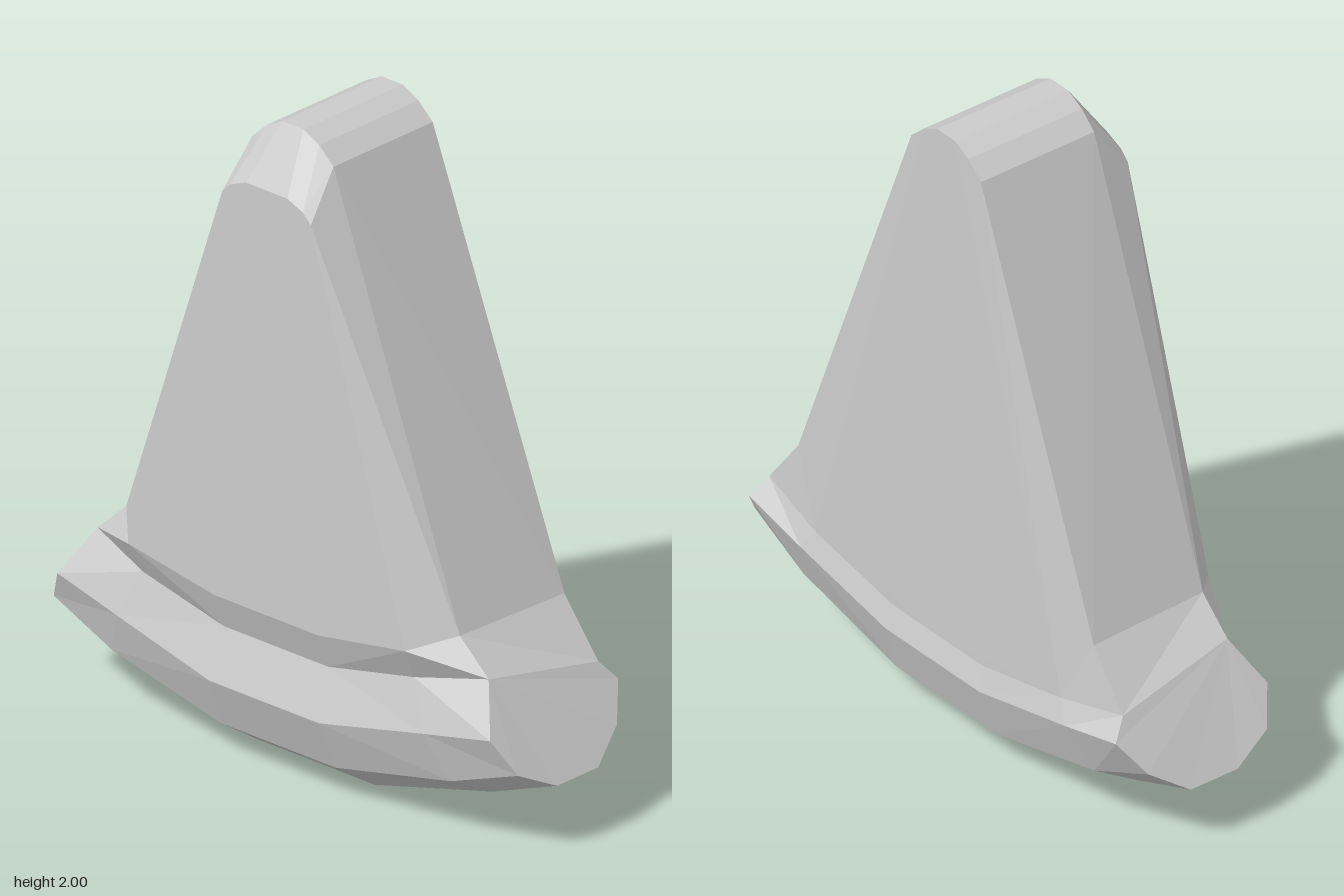
import * as THREE from 'three';

// Collects triangles for the +x half and mirrors each one across x = 0
function mirroredBuilder() {
  const out = [];
  const tri = (a, b, c) => {
    const area = new THREE.Triangle(...[a, b, c].map(p => new THREE.Vector3(...p))).getArea();
    if (area < 1e-6) return;
    out.push(...a, ...b, ...c);
    for (const [x, y, z] of [a, c, b]) out.push(-x, y, z);
  };
  return {
    // Skin between two matching loops, over the first n segments
    strip(a, b, n = a.length - 1) {
      for (let i = 0; i < n; i++) {
        tri(a[i], a[i + 1], b[i + 1]);
        tri(a[i], b[i + 1], b[i]);
      }
    },
    // Flat fill of a loop, fanned from one of its corners
    fan(loop, hub, flip = false) {
      loop.forEach((p, i) => {
        const q = loop[(i + 1) % loop.length];
        if (flip) tri(loop[hub], q, p);
        else tri(loop[hub], p, q);
      });
    },
    mesh(name) {
      const geometry = new THREE.BufferGeometry();
      geometry.setAttribute('position', new THREE.Float32BufferAttribute(out, 3));
      geometry.computeVertexNormals();
      const mesh = new THREE.Mesh(geometry,
        new THREE.MeshStandardMaterial({ color: 0xcccccc, flatShading: true }));
      mesh.name = name;
      return mesh;
    },
  };
}

// Crust cross-sections: front top, down under, up to back top
const inner = [
  [0.2, 0.41, 0.24], [0.21, 0.255, 0.29], [0.22, 0.1, 0.23], [0.23, 0, 0.08],
  [0.23, 0, -0.1], [0.22, 0.1, -0.24], [0.21, 0.255, -0.29], [0.2, 0.33, -0.27],
];
const middle = [
  [0.52, 0.475, 0.23], [0.59, 0.335, 0.27], [0.65, 0.19, 0.22], [0.68, 0.12, 0.08],
  [0.68, 0.12, -0.1], [0.65, 0.19, -0.23], [0.59, 0.335, -0.29], [0.55, 0.4, -0.27],
];
const end = [
  [0.75, 0.52, 0.17], [0.83, 0.38, 0.25], [0.89, 0.275, 0.2], [0.92, 0.21, 0.07],
  [0.92, 0.21, -0.1], [0.88, 0.29, -0.22], [0.82, 0.39, -0.29], [0.79, 0.45, -0.24],
];
const onAxis = ([, y, z]) => [0, y, z];

function createCrust() {
  const b = mirroredBuilder();
  const stations = [inner.map(onAxis), inner, middle, end];
  for (let i = 0; i < 3; i++) b.strip(stations[i], stations[i + 1]);
  b.fan(end, 0);
  return b.mesh('crust');
}

function createSlice() {
  const b = mirroredBuilder();
  const at = (z, pts) => pts.map(([x, y]) => [x, y, z]);
  // Half outlines run from the tip, down the side, to the crust
  const tip = [[0, 2], [0.04, 2], [0.1, 1.97], [0.155, 1.92]];
  const lower = j => [end[j], middle[j], inner[j], onAxis(inner[j])];
  const face = at(0.28, [
    [0, 1.835], [0.08, 1.835], [0.14, 1.81], [0.17, 1.78],
    [0.53, 0.575], [0.53, 0.575], [0.53, 0.575], [0.2, 0.52], [0, 0.52],
  ]);
  const rim = [...at(0.17, [...tip, [0.64, 0.62]]), ...lower(0)];
  const back = [...at(-0.24, [...tip, [0.66, 0.62]]), ...lower(7)];
  b.fan(face, 4, true);   // front face
  b.strip(face, rim);     // bevel and step down to the crust
  b.strip(rim, back, 5);  // side walls and shoulders
  b.fan(back, 6);         // back face
  return b.mesh('sliceBody');
}

export function createModel() {
  const group = new THREE.Group();
  group.name = 'pizzaSlice';
  group.add(createSlice(), createCrust());
  return group;
}
